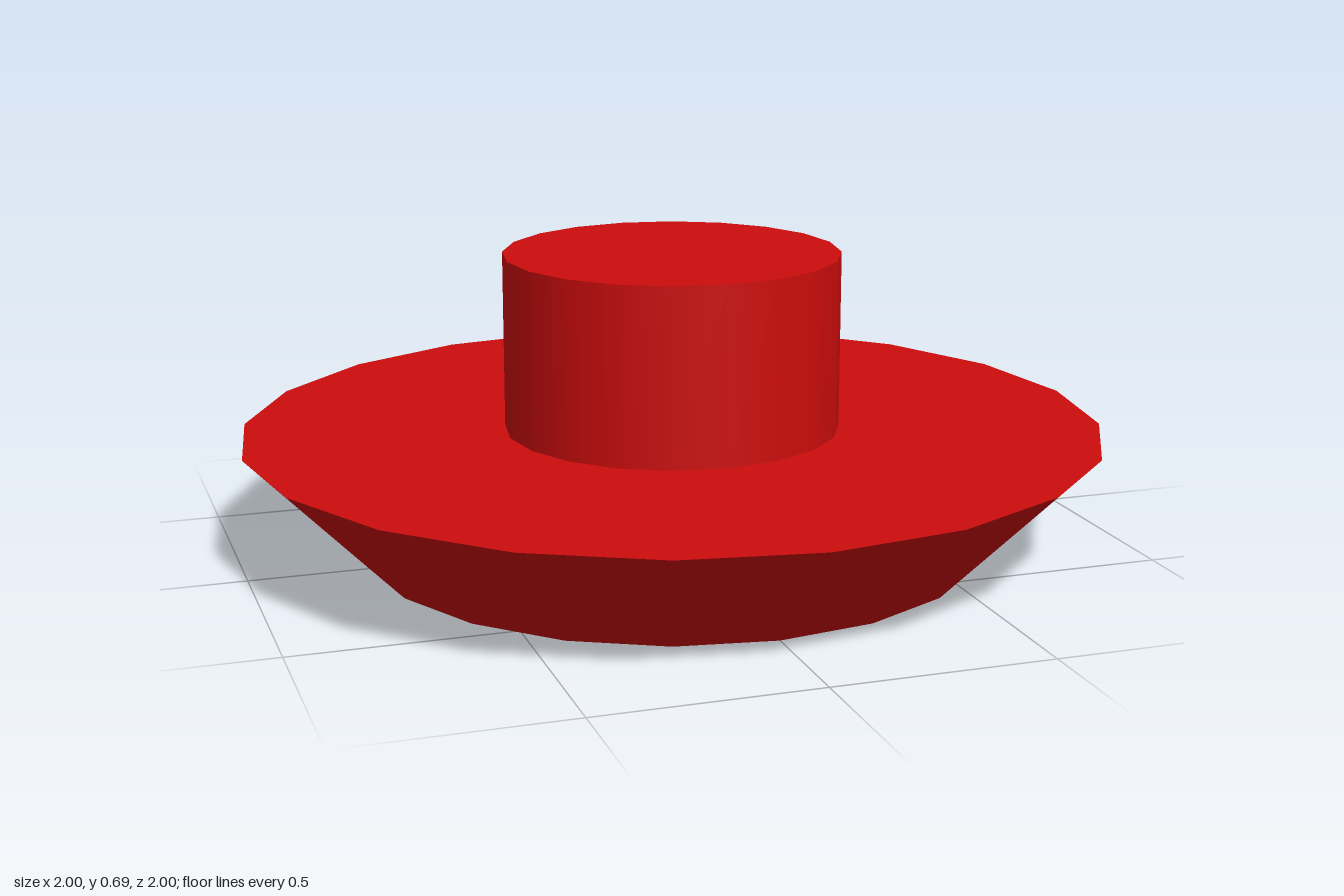
import * as THREE from 'three';

const SIDES = 20;

// Upright 20-sided round part standing between two heights
function roundPart(name, topRadius, bottomRadius, y0, y1, material) {
  const geometry = new THREE.CylinderGeometry(topRadius, bottomRadius, y1 - y0, SIDES);
  const mesh = new THREE.Mesh(geometry, material);
  mesh.position.y = (y0 + y1) / 2;
  mesh.name = name;
  return mesh;
}

export function createModel() {
  const group = new THREE.Group();
  group.name = 'pushButton';
  const red = new THREE.MeshStandardMaterial({ color: 0xcc0c0c });

  // Flared dish that widens upwards
  group.add(roundPart('flaredBase', 1, 0.725, 0, 0.28, red));
  // Straight knob standing on the dish
  group.add(roundPart('knob', 0.39, 0.39, 0.28, 0.69, red));

  return group;
}
